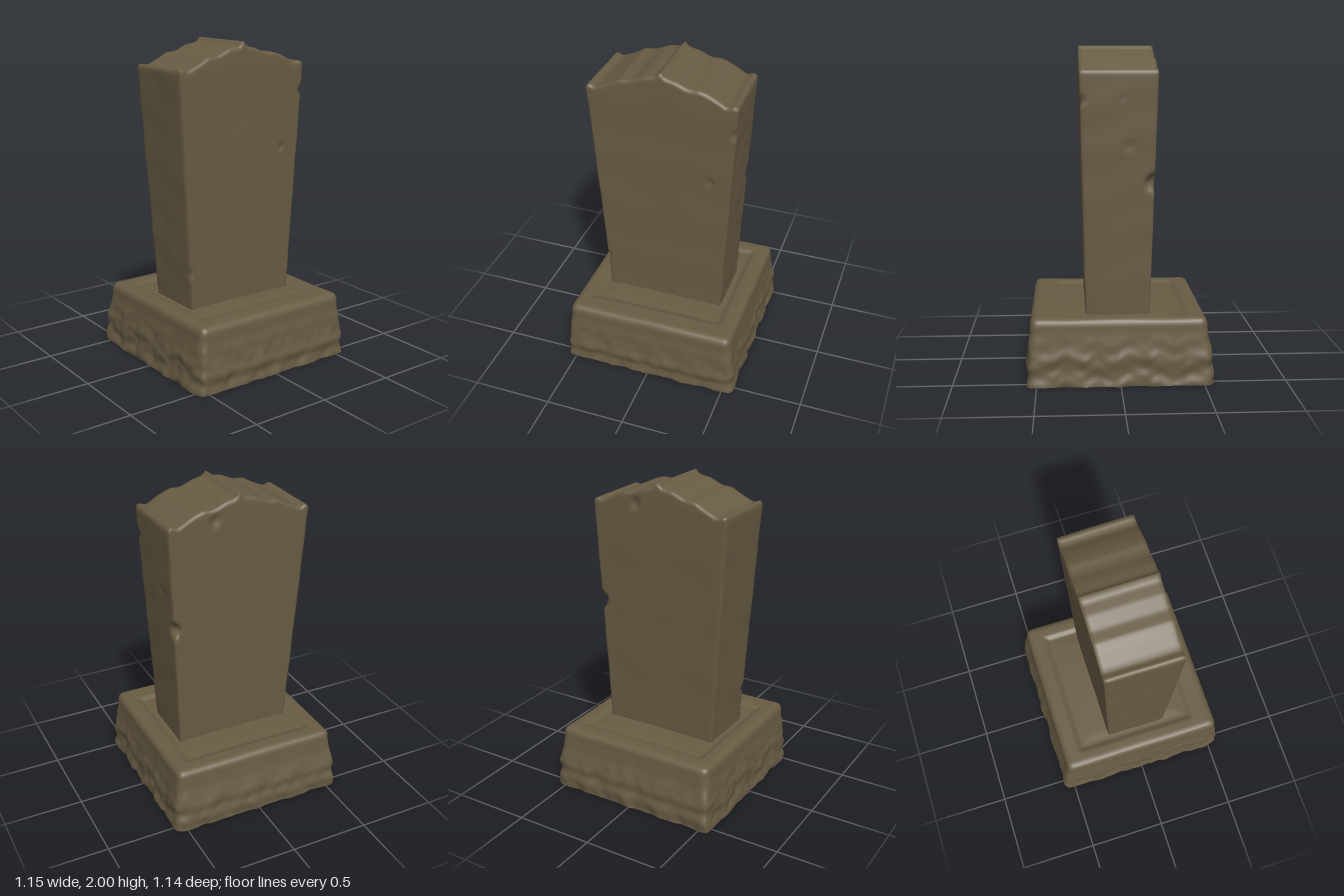
import * as THREE from 'three';
import { mergeVertices } from 'three/addons/utils/BufferGeometryUtils.js';

const { lerp, clamp, smoothstep } = THREE.MathUtils;

// Smooth, repeatable bumpiness in roughly -1..1
function bumps(x, y, z, f) {
  return (Math.sin(f * x + 1.3 * Math.sin(f * 0.7 * y + 2) + 0.4) +
    Math.sin(f * 1.31 * y + 1.7 * Math.sin(f * 0.6 * z) + 1.1) +
    Math.sin(f * 1.13 * z + 1.5 * Math.sin(f * 0.8 * x) + 2.3)) / 3;
}

// Rounds the edges of an axis-aligned block: pull in to the core, push out by r
function roundEdges(p, min, max, r) {
  const core = p.clone().clamp(min.clone().addScalar(r), max.clone().subScalar(r));
  const d = p.clone().sub(core);
  if (d.lengthSq() > 0) p.copy(core).addScaledVector(d.normalize(), r);
}

// A finely divided unit block, welded and moved by a rule
function shapedBlock(nx, ny, nz, rule) {
  let g = new THREE.BoxGeometry(1, 1, 1, nx, ny, nz);
  g.deleteAttribute('uv');
  g.deleteAttribute('normal');
  g = mergeVertices(g);
  const pos = g.attributes.position, p = new THREE.Vector3();
  for (let i = 0; i < pos.count; i++) {
    p.fromBufferAttribute(pos, i);
    rule(p);
    pos.setXYZ(i, p.x, p.y, p.z);
  }
  g.computeVertexNormals();
  return g;
}

// Crest outline of the slab: x as a fraction of the half width, height
const crest = [[-1, 1.85], [-0.96, 1.862], [-0.89, 1.847], [-0.83, 1.853], [-0.66, 1.89],
  [-0.55, 1.918], [-0.4, 1.924], [-0.34, 1.936], [-0.22, 1.96], [-0.07, 1.97], [-0.03, 1.982],
  [0, 2.0], [0.03, 1.982], [0.07, 1.97], [0.2, 1.957], [0.33, 1.93], [0.4, 1.924], [0.5, 1.926],
  [0.6, 1.912], [0.72, 1.885], [0.84, 1.852], [0.9, 1.855], [0.95, 1.864], [1, 1.85]];
function crestHeight(u) {
  for (let i = 1; i < crest.length; i++) {
    const [a, ya] = crest[i - 1], [b, yb] = crest[i];
    if (u <= b) return lerp(ya, yb, (u - a) / (b - a));
  }
  return 1.85;
}

// Chips and pits: centre, radius, push
const dents = [
  { at: [0.42, 1.2, -0.21], r: 0.07, push: [-0.035, 0, 0.035] },
  { at: [0.29, 1.33, 0.23], r: 0.035, push: [0, 0, -0.014] },
  { at: [0.14, 1.86, -0.23], r: 0.05, push: [0, 0, 0.02] },
  { at: [0.44, 1.68, 0.23], r: 0.04, push: [-0.015, 0, -0.01] },
  { at: [0.41, 1.42, -0.06], r: 0.05, push: [-0.008, 0, 0] },
  { at: [0.43, 1.7, -0.02], r: 0.03, push: [-0.008, 0, 0] },
  { at: [-0.39, 0.62, 0.21], r: 0.04, push: [0.012, 0, -0.008] },
].map(d => ({ r: d.r, at: new THREE.Vector3(...d.at), push: new THREE.Vector3(...d.push) }));

const slabMin = new THREE.Vector3(-1, 0, -0.5), slabMax = new THREE.Vector3(1, 1, 0.5);

function slabRule(p) {
  const u = p.x * 2, v = p.y + 0.5, w = p.z;
  const top = crestHeight(u);
  const t = clamp((lerp(0.37, top, v) - 0.4) / 1.45, 0, 1);
  // Tapered plan, a little wider on the left-hand and front sides
  const left = lerp(-0.378, -0.472, t), right = lerp(0.374, 0.45, t) - (0.5 - w) * 0.012 * t;
  const back = lerp(-0.186, -0.227, t), front = lerp(0.205, 0.238, t);
  const min = new THREE.Vector3(left, 0.37, back), max = new THREE.Vector3(right, top, front);
  p.set(lerp(left, right, (u + 1) / 2), lerp(0.37, top, v), lerp(back, front, w + 0.5));
  roundEdges(p, min, max, 0.009);
  // Slight weathering, strongest on the narrow sides
  p.x += 0.003 * bumps(p.x, p.y, p.z, 17) * Math.abs(u) ** 6;
  p.z += 0.0015 * bumps(p.x, p.y, p.z, 13) * Math.sign(w);
  for (const d of dents) {
    const k = p.distanceTo(d.at) / d.r;
    if (k < 1) p.addScaledVector(d.push, (1 - k * k) ** 2);
  }
}

const baseMin = new THREE.Vector3(-0.535, -0.2, -0.52), baseMax = new THREE.Vector3(0.535, 0.405, 0.538);

function baseRule(p) {
  const onTop = p.y > 0.499;
  p.set(p.x * 1.07, (p.y + 0.5) * 0.405, 0.009 + p.z * 1.058);
  const sx = p.x, sz = p.z, h = p.y;
  roundEdges(p, baseMin, baseMax, 0.045);
  // Rough, spreading sides below the dressed top
  const rough = 1 - smoothstep(h, 0.1, 0.36);
  const spread = rough * (0.024 + 0.012 * bumps(sx, h * 1.4, sz, 24) + 0.006 * bumps(sx, h, sz, 57));
  const ex = smoothstep(Math.abs(sx), 0.4, 0.53), ez = smoothstep(Math.abs(sz - 0.009), 0.4, 0.525);
  if (h > 0.001 || ex > 0.9 || ez > 0.9) {
    p.x += Math.sign(sx) * ex * spread;
    p.z += Math.sign(sz) * ez * (spread + (sz < 0 ? 0.012 * rough : 0));
  }
  // Raised rim around a sunken panel
  if (onTop) {
    const inset = Math.min(0.425 - Math.abs(sx), 0.393 - Math.abs(sz + 0.008));
    p.y -= 0.016 * smoothstep(inset, -0.012, 0.014) - 0.006 * smoothstep(inset, 0.02, 0.1);
    p.y += 0.003 * bumps(sx, 0, sz, 9);
  }
}

export function createModel() {
  const stone = new THREE.MeshStandardMaterial({ color: 0x695c44 });
  stone.name = 'weathered brown stone';
  const model = new THREE.Group();
  model.name = 'gravestone';

  const slab = new THREE.Mesh(shapedBlock(72, 72, 20, slabRule), stone);
  slab.name = 'headstone slab';
  const base = new THREE.Mesh(shapedBlock(72, 26, 72, baseRule), stone);
  base.name = 'plinth';
  model.add(slab, base);
  return model;
}
